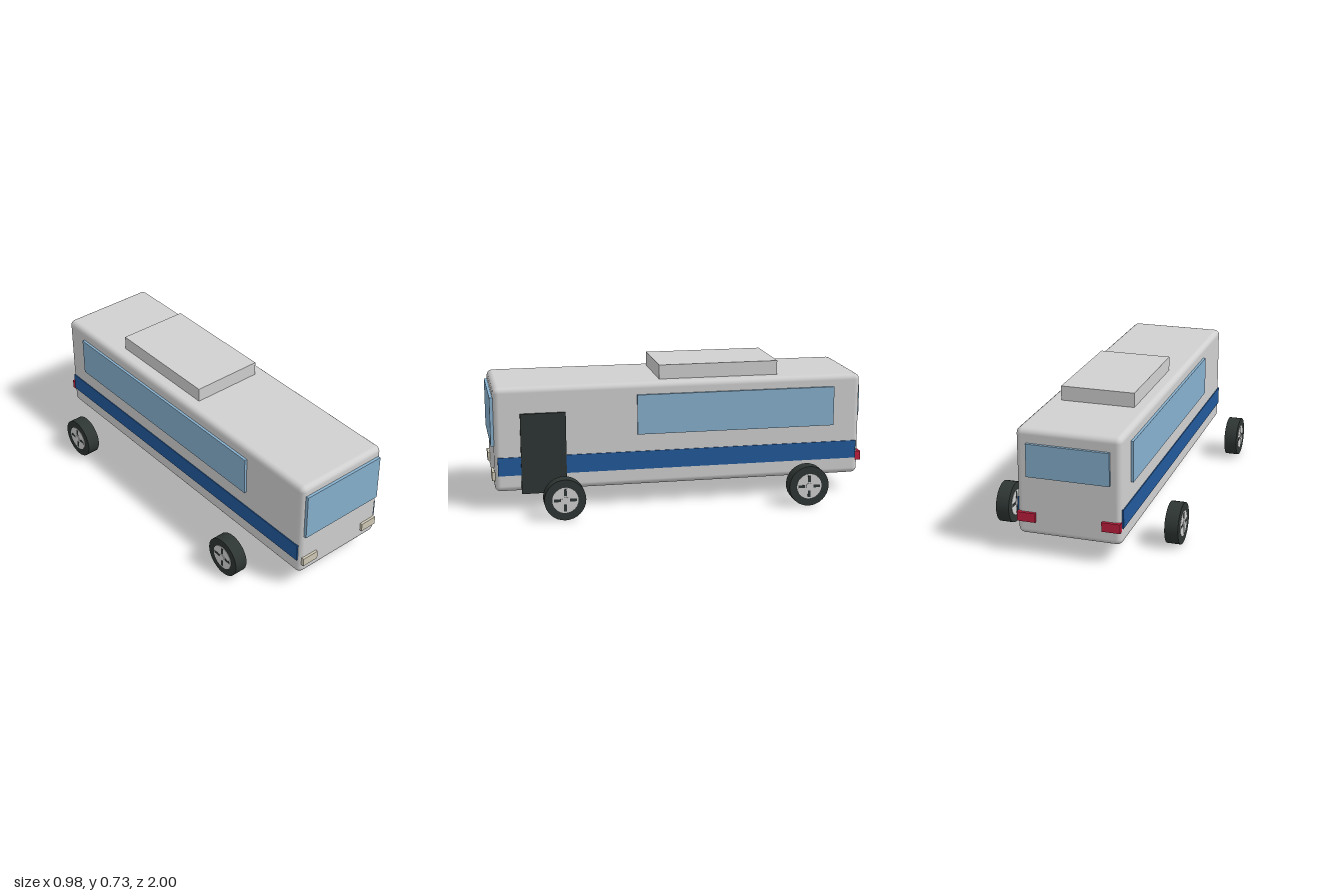
import * as THREE from 'three';
import { RoundedBoxGeometry } from 'three/addons/geometries/RoundedBoxGeometry.js';

const mat = (name, color) => {
  const m = new THREE.MeshStandardMaterial({ color });
  m.name = name;
  return m;
};

export function createModel() {
  const model = new THREE.Group();
  model.name = 'bus';

  const silver = mat('silver', 0xd0d0d0);
  const glass = mat('glass blue', 0x87b0ce);
  const blue = mat('stripe blue', 0x22599c);
  const dark = mat('rubber black', 0x2e3634);
  const cream = mat('headlight cream', 0xcec8b4);
  const red = mat('tail light red', 0xc01f3e);

  const add = (parent, name, geometry, material, x = 0, y = 0, z = 0) => {
    const mesh = new THREE.Mesh(geometry, material);
    mesh.name = name;
    mesh.position.set(x, y, z);
    parent.add(mesh);
    return mesh;
  };
  // Box given by its extents on each axis
  const slab = (name, material, [x0, x1], [y0, y1], [z0, z1]) =>
    add(model, name, new THREE.BoxGeometry(x1 - x0, y1 - y0, z1 - z0), material,
      (x0 + x1) / 2, (y0 + y1) / 2, (z0 + z1) / 2);

  // Body shell and roof unit
  add(model, 'body', new RoundedBoxGeometry(0.536, 0.553, 1.97, 2, 0.03), silver, 0, 0.378, 0);
  slab('roofUnit', silver, [-0.194, 0.194], [0.64, 0.73], [-0.54, 0.105]);

  // Windows
  slab('windshield', glass, [-0.246, 0.246], [0.346, 0.603], [0.97, 1]);
  slab('rearWindow', glass, [-0.212, 0.212], [0.412, 0.582], [-1, -0.97]);
  slab('leftWindow', glass, [0.25, 0.28], [0.38, 0.592], [-0.837, 0.235]);
  slab('rightWindow', glass, [-0.282, -0.25], [0.38, 0.592], [-0.837, 0.575]);

  // Entrance door
  slab('door', dark, [0.264, 0.28], [0.09, 0.517], [0.612, 0.848]);

  // Mirrored stripes and lamps
  for (const s of [-1, 1]) {
    const span = (a, b) => (s > 0 ? [a, b] : [-b, -a]);
    slab('stripe', blue, span(0.25, 0.273), [0.19, 0.287], [-0.968, 0.968]);
    slab('headlight', cream, span(0.157, 0.252), [0.161, 0.207], [0.97, 0.998]);
    slab('tailLight', red, span(0.17, 0.265), [0.175, 0.223], [-1, -0.97]);
  }

  // Wheels, with the axle along x and a hub on both faces
  const axleCylinder = (radius, width, sides) =>
    new THREE.CylinderGeometry(radius, radius, width, sides).rotateZ(Math.PI / 2);
  const tyre = axleCylinder(0.107, 0.07, 32);
  const rim = axleCylinder(0.067, 0.074, 32);
  const cap = axleCylinder(0.018, 0.08, 16);
  const slot = new THREE.BoxGeometry(0.0755, 0.036, 0.015).translate(0, 0.041, 0);

  for (const x of [-0.449, 0.449]) {
    for (const z of [-0.645, 0.645]) {
      const wheel = new THREE.Group();
      wheel.name = 'wheel';
      wheel.position.set(x, 0.107, z);
      add(wheel, 'tyre', tyre, dark);
      add(wheel, 'rim', rim, silver);
      add(wheel, 'hubCap', cap, silver);
      for (let i = 0; i < 4; i++) {
        add(wheel, 'rimSlot', slot, dark).rotation.x = (i * Math.PI) / 2;
      }
      model.add(wheel);
    }
  }

  return model;
}
